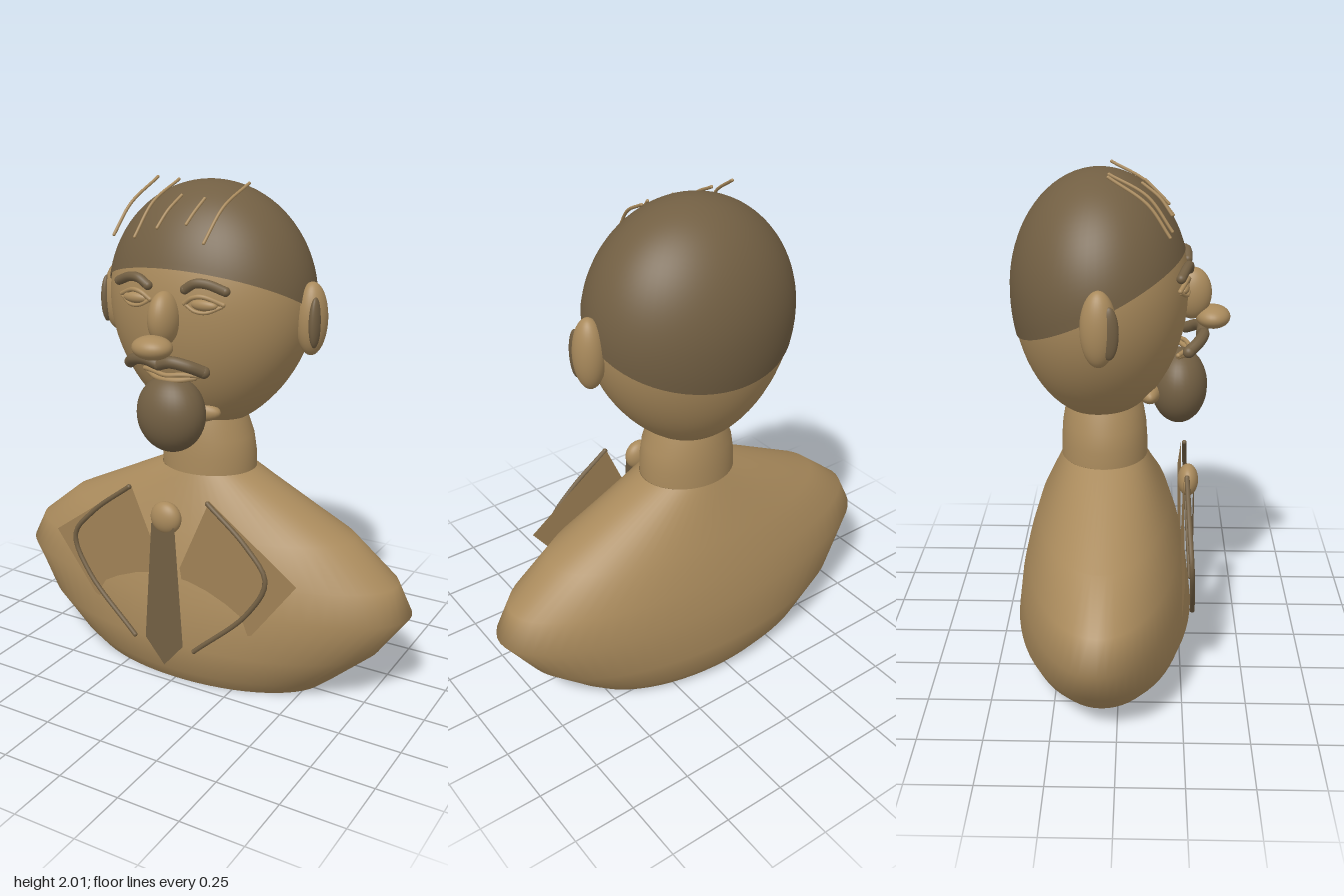
import * as THREE from 'three';

const mat = (name, color, double) => {
  const m = new THREE.MeshStandardMaterial({ color });
  m.name = name;
  if (double) m.side = THREE.DoubleSide;
  return m;
};

// Closed-around surface: fn(angle, v) gives a point, v runs upward from 0 to 1
function wrap(nu, nv, fn) {
  const pos = [], idx = [];
  for (let j = 0; j <= nv; j++)
    for (let i = 0; i < nu; i++) pos.push(...fn((i / nu) * Math.PI * 2, j / nv));
  for (let j = 0; j < nv; j++)
    for (let i = 0; i < nu; i++) {
      const k = (i + 1) % nu, a = j * nu + i, b = j * nu + k;
      idx.push(a, b, b + nu, a, b + nu, a + nu);
    }
  const g = new THREE.BufferGeometry();
  g.setAttribute('position', new THREE.Float32BufferAttribute(pos, 3));
  g.setIndex(idx);
  g.computeVertexNormals();
  return g;
}

// Elliptical rings [y, halfWidth, halfDepth], centred on z = -0.065
const loft = (rings) => wrap(64, rings.length - 1, (a, v) => {
  const [y, rx, rz] = rings[Math.round(v * (rings.length - 1))];
  return [Math.sin(a) * rx, y, -0.065 + Math.cos(a) * rz];
});

// Egg-shaped skull point, phi measured from the crown
function skull(a, phi, grow) {
  const c = Math.cos(phi), s = Math.sin(phi);
  const taper = c < 0 ? 1 - 0.17 * c * c : 1;
  return [
    Math.sin(a) * s * 0.428 * grow * taper,
    1.55 + c * (c > 0 ? 0.45 : 0.53) * grow,
    -0.08 + Math.cos(a) * s * 0.345 * grow,
  ];
}

export function createModel() {
  const group = new THREE.Group();
  const bronze = mat('bronze', 0xa98a5c, true);
  const dark = mat('dark bronze', 0x725f43, true);
  const lapelMat = mat('lapel bronze', 0x9f8155, true);

  const add = (name, geo, m, p = [0, 0, 0], s = [1, 1, 1]) => {
    const mesh = new THREE.Mesh(geo, m);
    mesh.name = name;
    mesh.position.set(...p);
    mesh.scale.set(...s);
    group.add(mesh);
    return mesh;
  };
  const ball = new THREE.SphereGeometry(1, 32, 24);
  const blob = (name, m, p, s) => add(name, ball, m, p, s);
  const tube = (name, m, pts, r, caps = true) => {
    const v = pts.map((p) => new THREE.Vector3(...p));
    add(name, new THREE.TubeGeometry(new THREE.CatmullRomCurve3(v), 28, r, 10), m);
    if (caps) for (const e of [v[0], v[v.length - 1]]) blob(name + 'End', m, e.toArray(), [r, r, r]);
  };
  const plate = (name, m, pts, z) =>
    add(name, new THREE.ShapeGeometry(new THREE.Shape(pts.map((p) => new THREE.Vector2(...p)))), m, [0, 0, z]);

  // Open-bottomed shoulders and neck
  add('torso', loft([
    [0, 0.545, 0.28], [0.065, 0.62, 0.325], [0.2, 0.77, 0.36], [0.38, 0.895, 0.337],
    [0.5, 0.835, 0.31], [0.65, 0.65, 0.265], [0.865, 0.2, 0.172],
  ]), bronze);
  add('neck', loft([
    [0.865, 0.198, 0.173], [0.93, 0.197, 0.172], [1.0, 0.185, 0.167], [1.07, 0.157, 0.155], [1.12, 0.14, 0.14],
  ]), bronze);

  // Head and slanted hair cap
  add('head', wrap(64, 40, (a, v) => skull(a, Math.PI * (1 - v), 0.985)), bronze);
  add('hairCap', wrap(64, 24, (a, v) => {
    const B = 0.1725 * Math.cos(a), A = B > 0.01 ? 0.45 : 0.53;
    const edge = Math.acos(-0.01 / Math.hypot(A, B)) - Math.atan2(B, A);
    return skull(a, edge * (1 - v), 1);
  }), dark);

  // Loose strands lying over the crown: [x, y, z] from forehead to crown
  const strands = [
    [[-0.28, 1.8, 0.18], [-0.255, 1.91, 0.1], [-0.22, 2.0, -0.04]],
    [[-0.18, 1.8, 0.19], [-0.155, 1.92, 0.1], [-0.125, 1.995, -0.04]],
    [[-0.08, 1.84, 0.19], [-0.06, 1.9, 0.145], [-0.04, 1.95, 0.08]],
    [[0.04, 1.86, 0.18], [0.05, 1.9, 0.14], [0.065, 1.945, 0.09]],
    [[0.125, 1.8, 0.2], [0.15, 1.92, 0.1], [0.18, 1.995, -0.04]],
  ];
  for (const s of strands) tube('hairStrand', bronze, s, 0.006);

  for (const s of [-1, 1]) {
    const flip = (pts) => pts.map(([x, ...r]) => [x * s, ...r]);

    // Ears
    blob('ear', bronze, [s * 0.437, 1.508, -0.07], [0.06, 0.14, 0.066]);
    blob('innerEar', dark, [s * 0.468, 1.502, -0.031], [0.021, 0.096, 0.034]);

    // Eyes with lids, and brows
    blob('eye', bronze, [s * 0.147, 1.583, 0.236], [0.056, 0.022, 0.022]);
    tube('upperLid', bronze,
      flip([[0.075, 1.585, 0.252], [0.11, 1.609, 0.256], [0.15, 1.615, 0.25], [0.22, 1.588, 0.222]]), 0.009);
    tube('lowerLid', bronze,
      flip([[0.08, 1.58, 0.252], [0.12, 1.56, 0.255], [0.165, 1.558, 0.248], [0.215, 1.58, 0.224]]), 0.007);
    tube('brow', dark,
      flip([[0.08, 1.638, 0.258], [0.12, 1.662, 0.257], [0.165, 1.662, 0.246], [0.23, 1.638, 0.224]]), 0.018);

    // Moustache half
    tube('moustache', dark,
      flip([[0, 1.36, 0.315], [0.055, 1.376, 0.32], [0.115, 1.364, 0.3], [0.162, 1.338, 0.26]]), 0.023);

    // Lapel plate and its raised edge
    plate('lapel', lapelMat, flip([[0.18, 0.83], [0.555, 0.56], [0.37, 0.31], [0.1, 0.2], [0.045, 0.52]]), 0.25);
    tube('lapelEdge', dark,
      flip([[0.18, 0.825, 0.264], [0.35, 0.69, 0.272], [0.44, 0.57, 0.28], [0.37, 0.42, 0.288], [0.14, 0.2, 0.3]]), 0.01);
  }

  // Nose, lips, chin and goatee
  blob('noseBridge', bronze, [0, 1.525, 0.275], [0.056, 0.102, 0.075]);
  blob('noseTip', bronze, [0, 1.432, 0.357], [0.08, 0.045, 0.067]);
  tube('upperLip', bronze,
    [[-0.12, 1.31, 0.222], [-0.06, 1.314, 0.255], [0, 1.308, 0.268], [0.06, 1.314, 0.255], [0.12, 1.31, 0.222]], 0.009);
  tube('lowerLip', bronze,
    [[-0.1, 1.3, 0.225], [-0.05, 1.292, 0.255], [0, 1.29, 0.265], [0.05, 1.292, 0.255], [0.1, 1.3, 0.225]], 0.011);
  blob('chin', bronze, [0, 1.14, 0.115], [0.15, 0.05, 0.05]);
  blob('goatee', dark, [0, 1.15, 0.23], [0.14, 0.152, 0.112]);

  // Tie
  blob('tieKnot', bronze, [0, 0.735, 0.275], [0.066, 0.066, 0.042]);
  plate('tie', dark, [[-0.053, 0.71], [-0.088, 0.205], [0, 0.1], [0.088, 0.205], [0.053, 0.71]], 0.3);

  return group;
}
